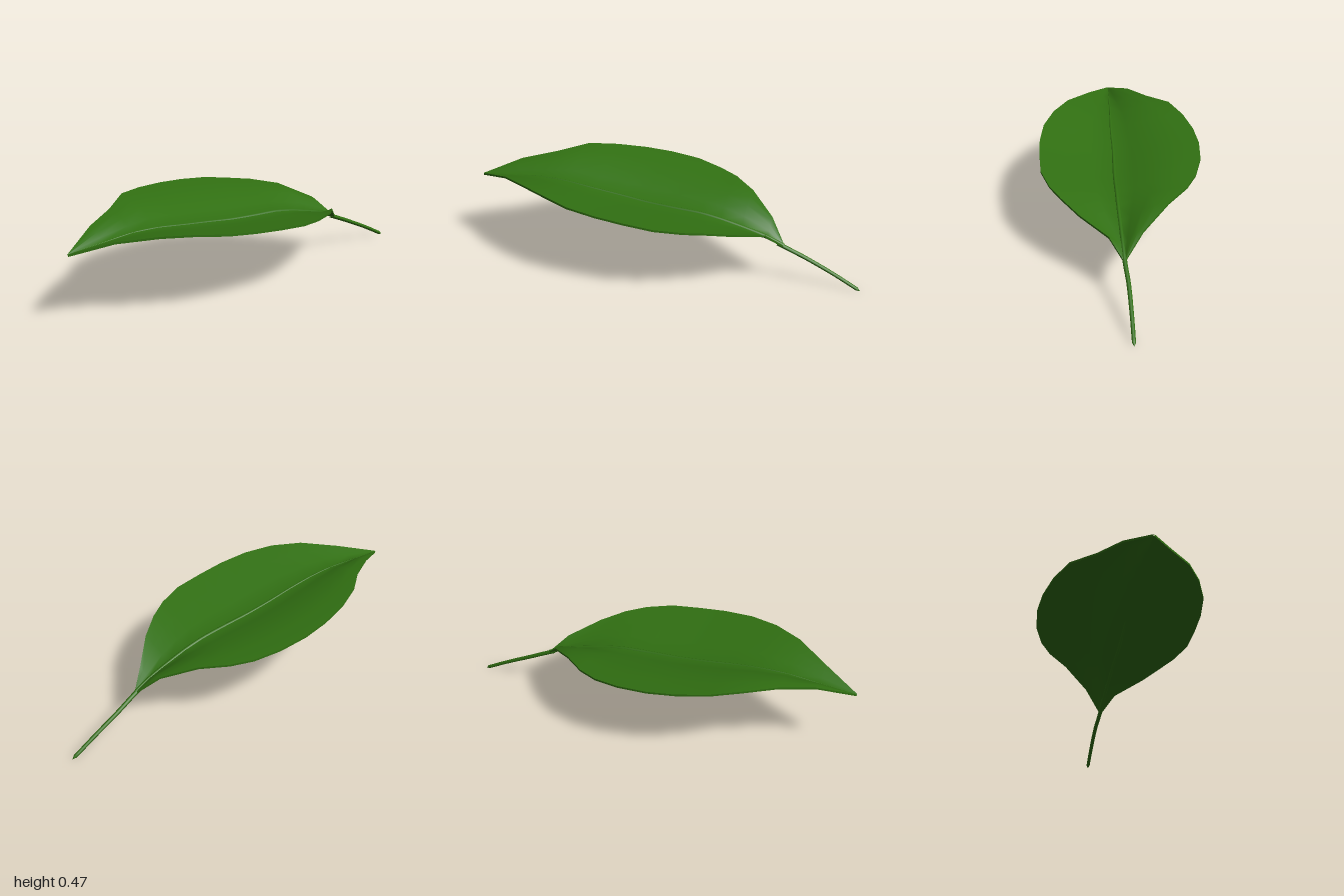
import * as THREE from 'three';

// Stations along the blade: x, back edge (z, y), midrib (z, y), front edge (z, y)
const STATIONS = [
  [-1.00, 0.00, 0.365, 0.00, 0.365, 0.005, 0.365],
  [-0.82, -0.10, 0.432, 0.005, 0.380, 0.115, 0.415],
  [-0.66, -0.19, 0.455, 0.01, 0.393, 0.24, 0.440],
  [-0.52, -0.30, 0.475, 0.015, 0.388, 0.32, 0.440],
  [-0.38, -0.36, 0.463, 0.02, 0.371, 0.375, 0.425],
  [-0.23, -0.395, 0.450, 0.02, 0.352, 0.397, 0.410],
  [-0.09, -0.407, 0.437, 0.025, 0.335, 0.40, 0.395],
  [0.06, -0.395, 0.422, 0.03, 0.325, 0.395, 0.380],
  [0.19, -0.355, 0.402, 0.03, 0.317, 0.355, 0.365],
  [0.29, -0.30, 0.390, 0.03, 0.300, 0.30, 0.350],
  [0.40, -0.20, 0.370, 0.028, 0.273, 0.22, 0.320],
  [0.53, -0.07, 0.300, 0.025, 0.235, 0.09, 0.275],
  [0.61, 0.015, 0.203, 0.022, 0.200, 0.03, 0.200],
];
const HALF = 0.005; // half of the blade thickness

// Cross-section steps from back edge (-1) to front edge (1), with the rise of each half
const STEPS = [
  [-1, 1], [-0.72, 0.9], [-0.45, 0.68], [-0.22, 0.32], [0, 0], [0.3, 0.26], [0.65, 0.64], [1, 1],
];

function bladePoint(i, j, lift) {
  const [x, bz, by, mz, my, fz, fy] = STATIONS[i];
  const [t, rise] = STEPS[j];
  const z = t < 0 ? mz + (bz - mz) * -t : mz + (fz - mz) * t;
  const y = my + ((t < 0 ? by : fy) - my) * rise;
  return [x, y + lift, z];
}

// Smooth surface over a grid of points
function grid(point, columns) {
  const rows = STATIONS.length, pos = [], index = [];
  for (let i = 0; i < rows; i++) {
    for (let j = 0; j < columns; j++) {
      pos.push(...point(i, j));
      if (i < rows - 1 && j < columns - 1) {
        const a = i * columns + j, c = a + columns;
        index.push(a, a + 1, c, a + 1, c + 1, c);
      }
    }
  }
  const g = new THREE.BufferGeometry();
  g.setAttribute('position', new THREE.Float32BufferAttribute(pos, 3));
  g.setIndex(index);
  g.computeVertexNormals();
  return g;
}

// Tube whose rings are scaled by a radius rule
function taperedTube(points, segments, sides, radius) {
  const curve = new THREE.CatmullRomCurve3(points.map((p) => new THREE.Vector3(...p)));
  const g = new THREE.TubeGeometry(curve, segments, 1, sides, false);
  const pos = g.attributes.position, v = new THREE.Vector3();
  for (let k = 0; k < pos.count; k++) {
    const u = Math.floor(k / (sides + 1)) / segments;
    const c = curve.getPointAt(u);
    v.fromBufferAttribute(pos, k).sub(c).multiplyScalar(radius(u)).add(c);
    pos.setXYZ(k, v.x, v.y, v.z);
  }
  g.computeVertexNormals();
  return g;
}

export function createModel() {
  const model = new THREE.Group();
  model.name = 'leaf';
  const green = new THREE.MeshStandardMaterial({ color: 0x317012 });
  green.name = 'leafGreen';
  const add = (name, geometry) => {
    const mesh = new THREE.Mesh(geometry, green);
    mesh.name = name;
    model.add(mesh);
  };

  // Blade: upper and lower faces joined by thin rims
  const n = STEPS.length, last = n - 1;
  add('bladeTop', grid((i, j) => bladePoint(i, j, HALF), n));
  add('bladeUnderside', grid((i, j) => bladePoint(i, last - j, -HALF), n));
  add('frontRim', grid((i, j) => bladePoint(i, last, j ? -HALF : HALF), 2));
  add('backRim', grid((i, j) => bladePoint(i, 0, j ? HALF : -HALF), 2));

  // Midrib: slender ridge along the fold, thicker towards the stem
  const ribPath = STATIONS.map((s) => [s[0], s[4] + 0.003, s[3]]);
  add('midrib', taperedTube(ribPath, 36, 8, (u) => 0.002 + 0.008 * Math.min(1, u * 1.6)));

  // Stem: drops away from the blade, closed at its tip
  const stemPath = [[0.58, 0.212, 0.024], [0.64, 0.185, 0.02], [0.72, 0.148, 0.013],
    [0.86, 0.08, 0.01], [0.998, 0.006, 0.01]];
  add('stem', taperedTube(stemPath, 24, 8, (u) => (u > 0.999 ? 0 : 0.011 - 0.002 * u)));

  return model;
}
